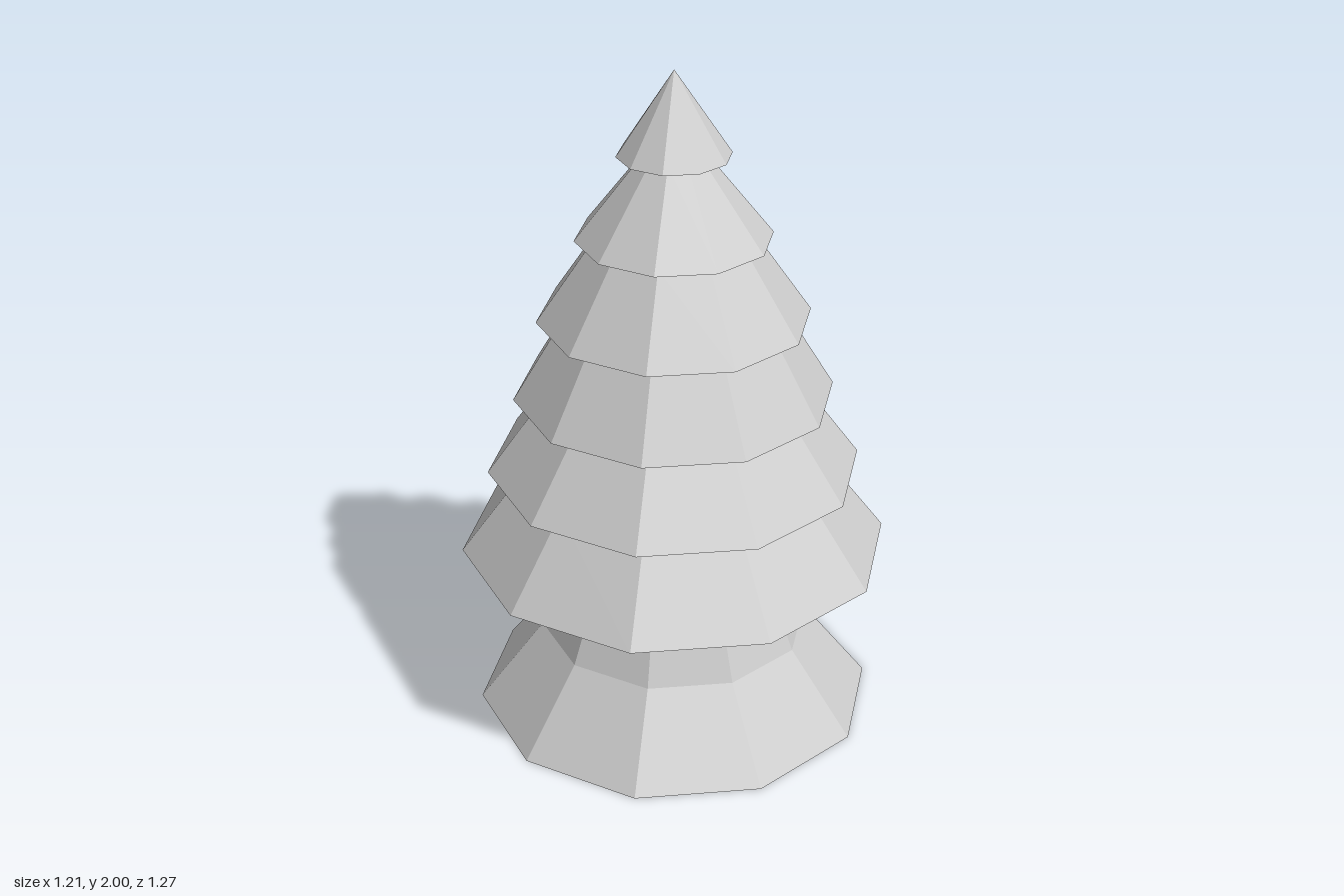
import * as THREE from 'three';

const SIDES = 10;

// Ten-sided ring surface from a profile of [radius, height] pairs, bottom to top
function facetedRing(name, profile) {
  const points = profile.map(([r, y]) => new THREE.Vector2(r, y));
  const material = new THREE.MeshStandardMaterial({
    color: 0xcccccc, flatShading: true, side: THREE.DoubleSide,
  });
  const mesh = new THREE.Mesh(new THREE.LatheGeometry(points, SIDES), material);
  mesh.name = name;
  return mesh;
}

export function createModel() {
  const tree = new THREE.Group();
  tree.name = 'firTree';

  // Flared trunk, open at the foot
  tree.add(facetedRing('trunk', [[0.597, 0], [0.403, 0.25], [0.3, 0.507]]));

  // Branch tiers: [rim radius, rim height, top radius]; each top meets the next tier's underside
  const tiers = [
    [0.635, 0.528, 0.44],
    [0.55, 0.788, 0.38],
    [0.468, 1.022, 0.322],
    [0.396, 1.265, 0.228],
    [0.283, 1.51, 0.09],
    [0.163, 1.755, 0],
  ];
  tiers.forEach(([rim, y, top], i) => {
    // The lowest underside dips slightly to the trunk; the others are flat
    const inner = i === 0 ? [0.3, 0.507] : [tiers[i - 1][2], y];
    const topY = i + 1 < tiers.length ? tiers[i + 1][1] : 2;
    tree.add(facetedRing(`branchTier${i + 1}`, [inner, [rim, y], [top, topY]]));
  });

  return tree;
}
